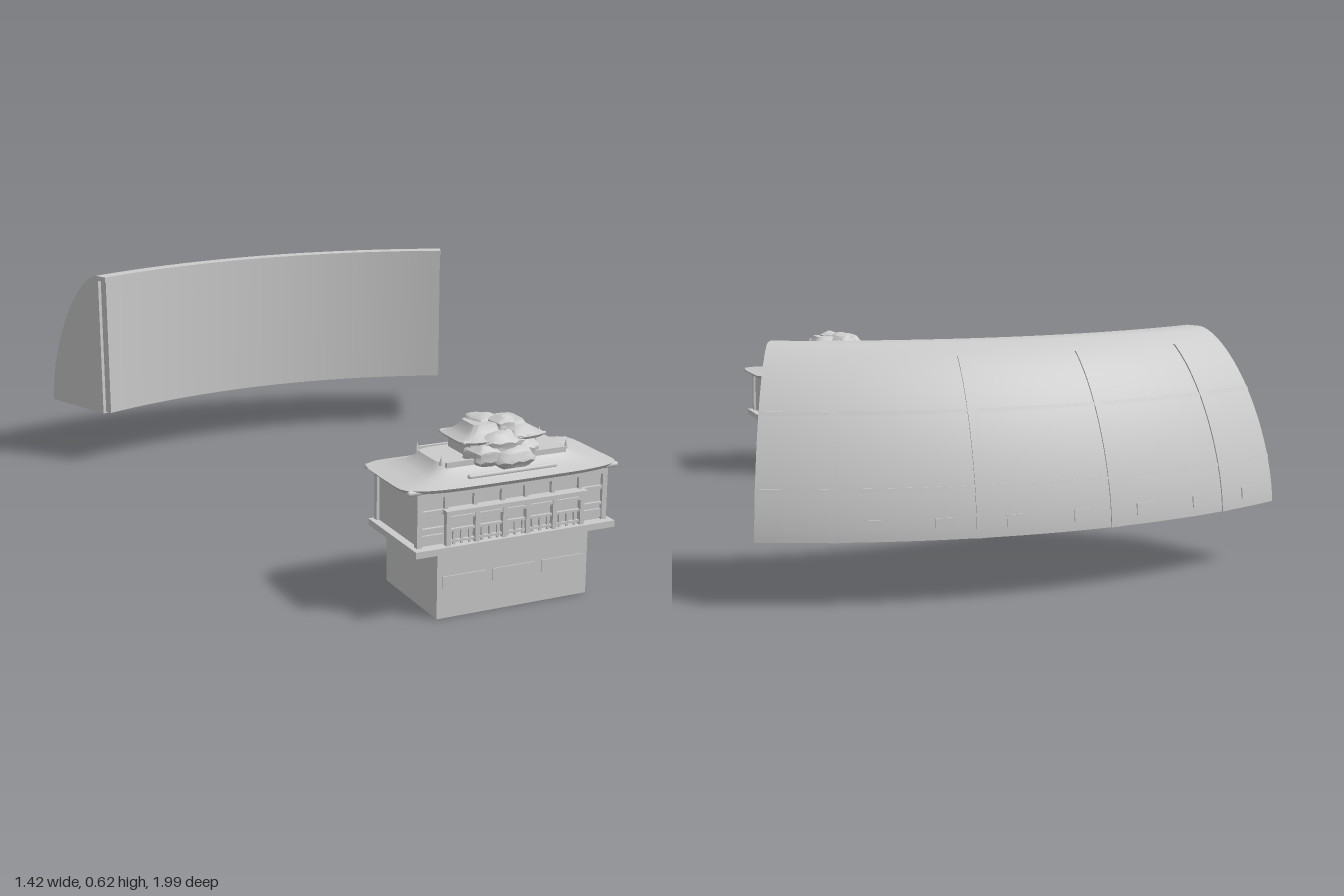
import * as THREE from 'three';
import { toCreasedNormals } from 'three/addons/utils/BufferGeometryUtils.js';

const CZ = 0.835;   // z of the axis the curved hall bends around
const HALF = 0.397; // half angle of the curved hall
const BZ = 0.852;   // z of the middle of the pavilion

export function createModel() {
  const model = new THREE.Group();
  const stone = new THREE.MeshStandardMaterial({ color: 0xcccccc });
  stone.name = 'light grey';
  const plain = new THREE.MeshStandardMaterial({ color: 0xcccccc, side: THREE.DoubleSide });
  plain.name = 'light grey';

  const hall = new THREE.Group();
  hall.name = 'curvedHall';
  const pavilion = new THREE.Group();
  pavilion.name = 'pavilion';
  model.add(hall, pavilion);

  function add(parent, name, geometry, material = stone) {
    const mesh = new THREE.Mesh(geometry, material);
    mesh.name = name;
    parent.add(mesh);
    return mesh;
  }

  // Box given by its limits
  function box(name, x0, x1, y0, y1, z0, z1) {
    const mesh = add(pavilion, name, new THREE.BoxGeometry(x1 - x0, y1 - y0, z1 - z0));
    mesh.position.set((x0 + x1) / 2, (y0 + y1) / 2, (z0 + z1) / 2);
  }

  // Rounded bar lying along x
  function bar(name, radius, length, x, y, z) {
    const mesh = add(pavilion, name, new THREE.CapsuleGeometry(radius, length, 4, 8));
    mesh.rotation.z = Math.PI / 2;
    mesh.position.set(x, y, z);
  }

  // Sweeps a closed (radius, height) outline around the hall axis
  function sweep(name, outline, a0, a1, steps) {
    const shape = new THREE.Shape(outline.map(([r, y]) => new THREE.Vector2(r, y)));
    const g = new THREE.ExtrudeGeometry(shape, { depth: a1 - a0, steps, bevelEnabled: false });
    const p = g.attributes.position;
    for (let i = 0; i < p.count; i++) {
      const r = p.getX(i), a = a0 + p.getZ(i);
      p.setXYZ(i, r * Math.sin(a), p.getY(i), CZ - r * Math.cos(a));
    }
    add(hall, name, toCreasedNormals(g, 0.45));
  }

  // ---- Curved hall: bulging back, flat ends ----
  // Back curve from the top (t = 0) to the foot (t = 1)
  function shell(t) {
    const a = Math.PI / 2 * t;
    return [1.575 + 0.257 * Math.pow(Math.sin(a), 1.25), 0.165 + 0.45 * Math.pow(Math.max(Math.cos(a), 0), 1.25)];
  }
  const back = [];
  for (let i = 0; i <= 28; i++) back.push(shell(i / 28));
  sweep('hallBody', [[1.568, 0.165], [1.568, 0.615], ...back].reverse(), -HALF, HALF, 40);
  sweep('frontScreen', [[1.537, 0.172], [1.562, 0.172], [1.562, 0.602], [1.537, 0.602]], -HALF + 0.004, HALF - 0.004, 40);
  sweep('topLip', [[1.533, 0.6], [1.57, 0.6], [1.57, 0.615], [1.533, 0.615]], -HALF, HALF, 40);

  // Strip lying on the back shell between two curve parameters
  function strip(name, t0, t1, lift, a0, a1, steps, n) {
    const outer = [], inner = [];
    for (let i = 0; i <= n; i++) {
      const [r, y] = shell(t0 + (t1 - t0) * i / n);
      outer.push([r + lift, y + lift * (1 - t0) * (1 - i / n)]);
      inner.unshift([r - 0.012, y]);
    }
    sweep(name, [...outer, ...inner].reverse(), a0, a1, steps);
  }
  for (const a of [-0.293, -0.0977, 0.0977, 0.293]) strip('rib', 0.22, 1, 0.003, a - 0.007, a + 0.007, 1, 24);
  for (const t of [0.485, 0.765]) strip('band', t, t + 0.014, 0.002, -HALF, HALF, 40, 1);
  // Small vents along the foot of the shell
  for (let i = -3.5; i <= 3.5; i++) {
    const a = i * 0.0977;
    strip('vent', 0.885, 0.94, 0.003, a - 0.014, a + 0.014, 2, 2);
  }

  // ---- Pavilion base ----
  box('base', -0.215, 0.215, 0, 0.178, 0.688, 0.976);
  for (const x of [-0.14, 0, 0.14]) box('basePanel', x - 0.06, x + 0.06, 0.08, 0.11, 0.974, 0.979);
  box('podium', -0.283, 0.283, 0.175, 0.192, 0.722, 0.995);

  // ---- Pavilion walls ----
  box('hallWalls', -0.262, 0.262, 0.19, 0.335, 0.73, 0.964);
  box('backPanel', -0.17, 0.17, 0.19, 0.28, 0.722, 0.732);
  box('backCanopy', -0.18, 0.18, 0.28, 0.29, 0.716, 0.732);
  box('frieze', -0.268, 0.268, 0.315, 0.335, 0.727, 0.974);
  box('porchRoof', -0.2, 0.2, 0.272, 0.284, 0.955, 0.995);
  box('porchBeam', -0.195, 0.195, 0.258, 0.266, 0.97, 0.985);
  for (const s of [-1, 1]) {
    for (const x of [0.033, 0.11, 0.19]) {
      box('porchColumn', s * x - 0.006, s * x + 0.006, 0.19, 0.275, 0.972, 0.986);
      box('upperPost', s * x - 0.005, s * x + 0.005, 0.284, 0.318, 0.96, 0.974);
    }
    for (const z of [0.736, 0.966]) box('cornerColumn', s * 0.263 - 0.007, s * 0.263 + 0.007, 0.19, 0.333, z - 0.008, z + 0.008);
    const lo = s > 0 ? 0.195 : -0.258;
    box('sideRail', lo, lo + 0.063, 0.232, 0.239, 0.96, 0.973);
    box('sideSill', lo, lo + 0.063, 0.198, 0.22, 0.96, 0.97);
    box('sideBeam', lo, lo + 0.063, 0.275, 0.283, 0.96, 0.972);
  }
  // Railing between the porch columns
  for (const x of [-0.15, -0.0715, 0, 0.0715, 0.15]) {
    box('railTop', x - 0.034, x + 0.034, 0.227, 0.233, 0.974, 0.982);
    box('railBottom', x - 0.034, x + 0.034, 0.198, 0.204, 0.974, 0.982);
    for (const d of [-0.022, 0, 0.022]) box('baluster', x + d - 0.003, x + d + 0.003, 0.19, 0.23, 0.975, 0.981);
  }

  // ---- Roofs: rounded rectangles stacked in rings [half width, half depth, y] ----
  function roof(name, rings, lift) {
    const N = 64, pos = [], idx = [];
    const soft = v => Math.sign(v) * Math.pow(Math.abs(v), 0.3);
    rings.forEach(([w, d, y], k) => {
      for (let i = 0; i < N; i++) {
        const a = i / N * Math.PI * 2, c = soft(Math.cos(a)), s = soft(Math.sin(a));
        const up = k < 3 ? lift * Math.pow(Math.abs(c * s), 4) : 0;
        pos.push(w * c, y + up, BZ + d * s);
      }
    });
    for (let k = 0; k < rings.length - 1; k++) {
      for (let i = 0; i < N; i++) {
        const a = k * N + i, b = k * N + (i + 1) % N;
        idx.push(a, a + N, b, b, a + N, b + N);
      }
    }
    const g = new THREE.BufferGeometry();
    g.setAttribute('position', new THREE.Float32BufferAttribute(pos, 3));
    g.setIndex(idx);
    add(pavilion, name, toCreasedNormals(g, 0.6), plain);
  }
  roof('mainRoof', [[0.001, 0.001, 0.33], [0.296, 0.138, 0.33], [0.305, 0.145, 0.34], [0.26, 0.12, 0.346],
    [0.22, 0.098, 0.355], [0.195, 0.082, 0.368], [0.182, 0.073, 0.382], [0.001, 0.001, 0.383]], 0.006);
  box('upperRoom', -0.095, 0.095, 0.38, 0.422, BZ - 0.058, BZ + 0.058);
  roof('upperRoof', [[0.001, 0.001, 0.415], [0.115, 0.074, 0.417], [0.12, 0.078, 0.424], [0.098, 0.06, 0.431],
    [0.082, 0.048, 0.443], [0.072, 0.04, 0.458], [0.001, 0.001, 0.459]], 0.004);

  // Roof ridges, long bars on the slopes, eave tips and spikes
  for (const s of [-1, 1]) {
    box('roofRidge', -0.17, 0.17, 0.372, 0.386, BZ + s * 0.076 - 0.004, BZ + s * 0.076 + 0.004);
    bar('slopeBar', 0.007, 0.24, 0, 0.352, BZ + s * 0.108);
    for (const t of [-1, 1]) {
      const spike = add(pavilion, 'ridgeSpike', new THREE.ConeGeometry(0.006, 0.025, 8));
      spike.position.set(s * 0.178, 0.39, BZ + t * 0.066);
      bar('eaveTip', 0.007, 0.03, s * 0.277, 0.336, BZ + t * 0.122);
      bar('upperEaveTip', 0.005, 0.015, s * 0.107, 0.424, BZ + t * 0.062);
    }
  }

  // ---- Lumpy rocks piled over the roof [x, y, z, half sizes] ----
  const rocks = [
    [-0.02, 0.382, 0.775, 0.055, 0.04, 0.045], [0.015, 0.375, 0.925, 0.07, 0.035, 0.04],
    [-0.055, 0.385, 0.91, 0.055, 0.038, 0.042], [0.06, 0.39, 0.9, 0.045, 0.034, 0.042],
    [-0.02, 0.443, 0.83, 0.048, 0.03, 0.052], [0.015, 0.448, 0.87, 0.04, 0.026, 0.04],
    [-0.005, 0.412, 0.9, 0.08, 0.032, 0.045], [0.05, 0.425, 0.89, 0.05, 0.026, 0.04],
  ];
  rocks.forEach(([x, y, z, a, b, c], k) => {
    const g = new THREE.IcosahedronGeometry(1, 3);
    const p = g.attributes.position;
    const v = new THREE.Vector3();
    for (let i = 0; i < p.count; i++) {
      v.fromBufferAttribute(p, i);
      const f = 0.95 + 0.1 * Math.sin(4 * v.x + k) * Math.cos(5 * v.z - k) + 0.05 * Math.sin(9 * v.y + 2 * k);
      p.setXYZ(i, x + v.x * a * f, y + v.y * b * f, z + v.z * c * f);
    }
    add(pavilion, 'rock', toCreasedNormals(g, 0.5));
  });
  return model;
}
